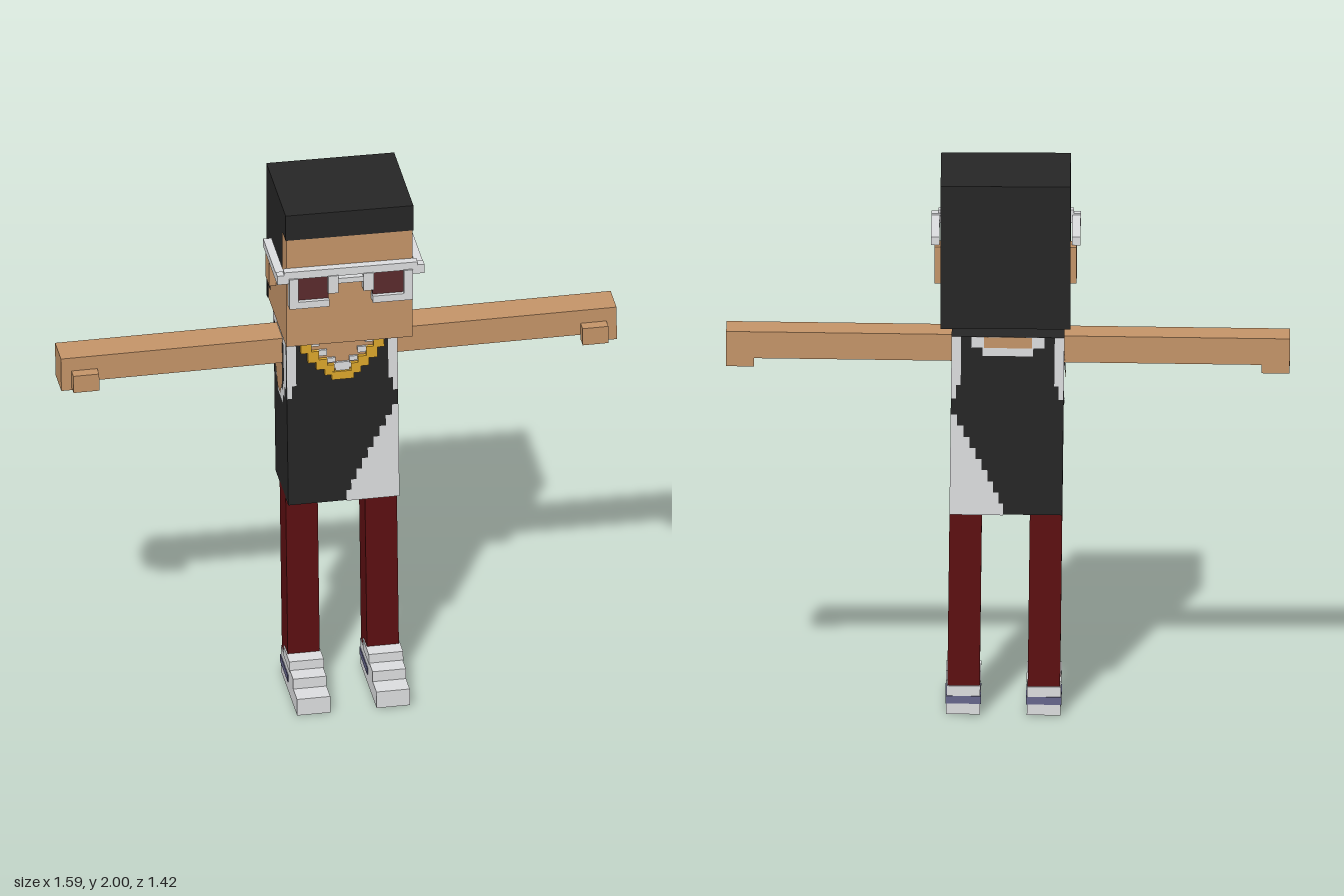
import * as THREE from 'three';

const mat = (name, color) => Object.assign(new THREE.MeshStandardMaterial({ color }), { name });

export function createModel() {
  const skin = mat('skin', 0xc49468), black = mat('black', 0x262626), white = mat('lightGrey', 0xdcdddf);
  const red = mat('darkRed', 0x5c0f11), gold = mat('gold', 0xdba62c), lensMat = mat('lens', 0x5a2a2d);
  const stripe = mat('stripeBlue', 0x66668c);

  const model = new THREE.Group();
  model.name = 'figure';
  model.rotation.y = 0.72;
  const body = new THREE.Group();
  body.name = 'body';
  body.rotation.z = 0.012;
  body.position.set(0.008, 0.0025, 0);
  const head = new THREE.Group();
  head.name = 'head';
  model.add(body, head);

  // box given by its limits on each axis
  const box = (parent, name, m, [x0, x1], [y0, y1], [z0, z1]) => {
    const mesh = new THREE.Mesh(new THREE.BoxGeometry(x1 - x0, y1 - y0, z1 - z0), m);
    mesh.position.set((x0 + x1) / 2, (y0 + y1) / 2, (z0 + z1) / 2);
    mesh.name = name;
    parent.add(mesh);
  };
  // the same box on both sides
  const pair = (parent, name, m, [x0, x1], y, z) => {
    box(parent, name + 'Left', m, [x0, x1], y, z);
    box(parent, name + 'Right', m, [-x1, -x0], y, z);
  };
  // flat painted face; points are (x or z, y) on the given side
  const turns = { front: 0, back: Math.PI, left: Math.PI / 2, right: -Math.PI / 2 };
  const paint = (parent, name, m, side, at, pts) => {
    const s = side === 'front' || side === 'right' ? 1 : -1;
    const shape = new THREE.Shape(pts.map(([u, y]) => new THREE.Vector2(u * s, y)));
    const mesh = new THREE.Mesh(new THREE.ShapeGeometry(shape), m);
    mesh.rotation.y = turns[side];
    if (side === 'front' || side === 'back') mesh.position.z = at;
    else mesh.position.x = at;
    mesh.name = name;
    parent.add(mesh);
  };
  const rect = (u0, u1, y0, y1) => [[u0, y0], [u1, y0], [u1, y1], [u0, y1]];

  // head and hair
  box(head, 'face', skin, [-0.227, 0.227], [1.47, 1.95], [-0.165, 0.227]);
  box(head, 'hairTop', black, [-0.23, 0.23], [1.9, 2], [-0.17, 0.23]);
  box(head, 'hairBack', black, [-0.23, 0.23], [1.47, 1.91], [-0.17, -0.145]);
  for (const [side, at] of [['left', 0.23], ['right', -0.23]]) {
    paint(head, 'hairSide', black, side, at,
      [[-0.17, 1.53], [-0.08, 1.53], [-0.08, 1.745], [0.165, 1.745], [0.165, 1.9], [-0.17, 1.9]]);
    paint(head, 'sideburn', black, side, at,
      [[0.0, 1.75], [0.0, 1.69], [0.04, 1.69], [0.04, 1.67], [0.12, 1.67], [0.12, 1.7], [0.15, 1.7], [0.15, 1.75]]);
  }
  pair(head, 'ear', skin, [0.22, 0.252], [1.605, 1.74], [-0.06, 0.015]);
  box(body, 'neck', skin, [-0.04, 0.045], [1.4, 1.49], [0.01, 0.09]);

  // glasses
  box(head, 'glassesTopBar', white, [-0.24, 0.24], [1.757, 1.787], [0.228, 0.258]);
  box(head, 'glassesBridge', white, [-0.05, 0.05], [1.725, 1.745], [0.228, 0.256]);
  pair(head, 'glassesInnerRim', white, [0.045, 0.082], [1.69, 1.76], [0.228, 0.262]);
  pair(head, 'glassesOuterRim', white, [0.19, 0.222], [1.64, 1.76], [0.228, 0.265]);
  pair(head, 'glassesLowerRim', white, [0.078, 0.2], [1.64, 1.667], [0.228, 0.265]);
  pair(head, 'glassesLens', lensMat, [0.08, 0.192], [1.665, 1.76], [0.228, 0.25]);
  pair(head, 'glassesHinge', white, [0.222, 0.265], [1.74, 1.775], [0.225, 0.258]);
  pair(head, 'glassesTemple', white, [0.235, 0.265], [1.74, 1.77], [-0.035, 0.24]);

  // shirt
  const F = 0.12, B = -0.145, W = 0.2;
  box(body, 'shirt', black, [-W, W], [0.77, 1.43], [B, F]);
  // stepped light panel, shared by front and back
  const panel = [[W, 0.77]];
  const steps = 9;
  for (let i = 0; i < steps; i++) {
    const x = 0.01 + 0.19 * Math.pow(i / steps, 1.1);
    panel.push([x, 0.77 + 0.37 * i / steps], [x, 0.77 + 0.37 * (i + 1) / steps]);
  }
  panel.push([W, 1.14]);
  for (const [side, at, dir] of [['front', F, 1], ['back', B, -1]]) {
    paint(body, 'shirtPanel', white, side, at + dir * 0.002, panel);
    for (const s of [-1, 1])
      paint(body, 'armholeTrim', white, side, at + dir * 0.002,
        [[s * W, 1.2], [s * 0.182, 1.2], [s * 0.182, 1.25], [s * 0.166, 1.25], [s * 0.166, 1.43], [s * W, 1.43]]);
  }
  for (const [side, s] of [['left', 1], ['right', -1]]) {
    const at = s * W;
    if (s > 0) {
      paint(body, 'shirtSidePanel', white, side, at + 0.002, rect(B, F, 0.77, 1.12));
      paint(body, 'shirtSideCorner', white, side, at + 0.002, rect(B, -0.1, 1.12, 1.16));
    }
    paint(body, 'armholeRing', white, side, at + s * 0.002,
      [[B, 1.43], [B, 1.23], [-0.11, 1.23], [-0.11, 1.18], [-0.07, 1.18], [-0.07, 1.14], [0.045, 1.14],
        [0.045, 1.18], [0.085, 1.18], [0.085, 1.23], [F, 1.23], [F, 1.43]]);
    paint(body, 'armholeInside', black, side, at + s * 0.004,
      [[-0.11, 1.4], [-0.11, 1.26], [-0.075, 1.2], [0.05, 1.2], [0.085, 1.26], [0.085, 1.4]]);
    paint(body, 'underarm', skin, side, at + s * 0.006,
      [[-0.075, 1.4], [-0.075, 1.23], [-0.04, 1.17], [0.015, 1.17], [0.055, 1.23], [0.055, 1.4]]);
  }
  box(body, 'shirtHemPanel', white, [0.01, W], [0.767, 0.77], [B, F]);
  // neckline at the back
  paint(body, 'collarBack', white, 'back', B - 0.002,
    [[-0.13, 1.43], [-0.13, 1.39], [-0.09, 1.39], [-0.09, 1.36], [0.09, 1.36], [0.09, 1.39], [0.13, 1.39], [0.13, 1.43]]);
  paint(body, 'napeSkin', skin, 'back', B - 0.004, rect(-0.085, 0.085, 1.39, 1.43));

  // stepped chains over a bare neckline
  paint(body, 'necklineSkin', skin, 'front', F + 0.002,
    [[-0.13, 1.43], [-0.1, 1.36], [-0.04, 1.3], [0.04, 1.3], [0.1, 1.36], [0.13, 1.43]]);
  const chain = [[0.112, 0.15, 1.385, 1.43], [0.085, 0.125, 1.345, 1.39], [0.055, 0.095, 1.315, 1.355], [0.03, 0.065, 1.29, 1.33]];
  for (const [x0, x1, y0, y1] of chain) {
    pair(body, 'goldChain', gold, [x0, x1], [y0, y1], [F, F + 0.016]);
    pair(body, 'silverChain', white, [x0 - 0.03, x1 - 0.034], [y0 + 0.022, y1], [F, F + 0.01]);
  }
  box(body, 'goldPendant', gold, [-0.04, 0.04], [1.27, 1.302], [F, F + 0.018]);
  box(body, 'silverPendant', white, [-0.025, 0.025], [1.3, 1.335], [F, F + 0.01]);

  // arms, hands and thumbs
  pair(body, 'arm', skin, [0.19, 1], [1.314, 1.412], [-0.065, 0.057]);
  pair(body, 'hand', skin, [0.9, 1], [1.283, 1.33], [-0.065, 0.057]);
  pair(body, 'thumb', skin, [0.87, 0.963], [1.293, 1.36], [0.05, 0.098]);

  // legs and stepped shoes
  pair(body, 'leg', red, [0.085, 0.2], [0.09, 0.775], [-0.06, 0.065]);
  pair(body, 'shoeSole', white, [0.083, 0.203], [0, 0.065], [-0.066, 0.268]);
  pair(body, 'shoeHeel', white, [0.083, 0.203], [0.06, 0.105], [-0.066, 0.19]);
  pair(body, 'shoeTongue', white, [0.081, 0.205], [0.1, 0.14], [0, 0.125]);
  pair(body, 'shoeStripe', stripe, [0.08, 0.206], [0.04, 0.068], [-0.069, 0.09]);
  return model;
}
